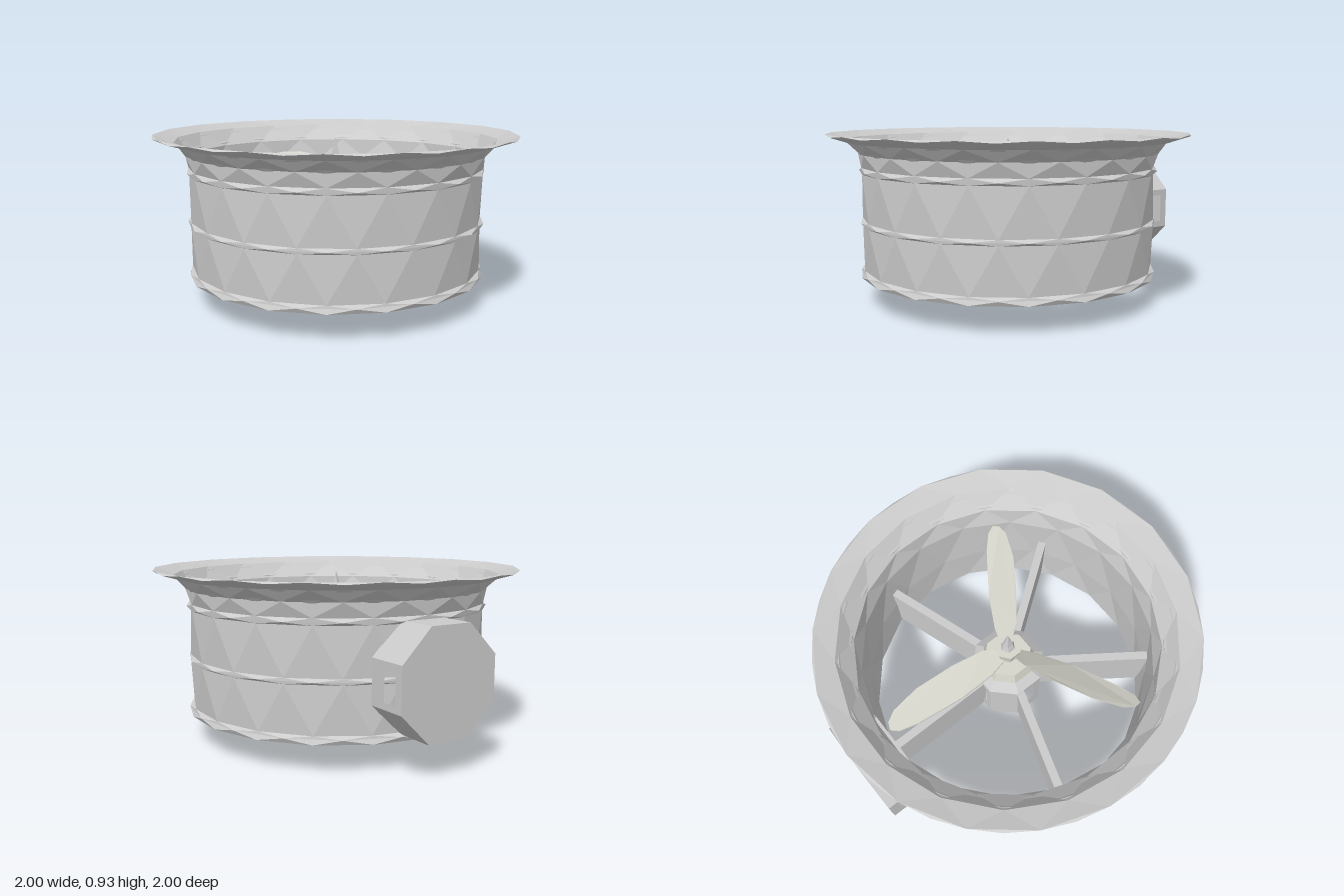
import * as THREE from 'three';

const grey = new THREE.MeshStandardMaterial({ color: 0xcccccc, flatShading: true, side: THREE.DoubleSide });
const pale = new THREE.MeshStandardMaterial({ color: 0xd6d6cc, flatShading: true, side: THREE.DoubleSide });

function part(name, geometry, material = grey) {
  const mesh = new THREE.Mesh(geometry, material);
  mesh.name = name;
  return mesh;
}

// Faceted drum at a given height
function drum(name, rTop, rBottom, y0, y1, sides, material, open = false) {
  const mesh = part(name, new THREE.CylinderGeometry(rTop, rBottom, y1 - y0, sides, 1, open, Math.PI / sides), material);
  mesh.position.y = (y0 + y1) / 2;
  return mesh;
}

// Ring of flat panels around y; every windowStep-th panel has a rectangular window
function panelBand(name, radius, height, sides, windowStep, [w, h, cy]) {
  const band = new THREE.Group();
  band.name = name;
  const half = radius * Math.sin(Math.PI / sides);
  for (let i = 0; i < sides; i++) {
    const shape = new THREE.Shape([[-half, -height / 2], [half, -height / 2], [half, height / 2], [-half, height / 2]]
      .map(p => new THREE.Vector2(...p)));
    if (i % windowStep === 0) {
      shape.holes.push(new THREE.Path([[-w, cy - h], [-w, cy + h], [w, cy + h], [w, cy - h]]
        .map(p => new THREE.Vector2(...p))));
    }
    const geometry = new THREE.ShapeGeometry(shape);
    geometry.translate(0, 0, radius * Math.cos(Math.PI / sides));
    geometry.rotateY(i * 2 * Math.PI / sides);
    band.add(part(name + 'Panel', geometry));
  }
  return band;
}

// Duct wall with flared mouth; each row is turned half a step to give triangular facets
function makeDuct() {
  const profile = [
    [0.785, 0.15], [0.825, 0.15], [0.825, 0.175], [0.81, 0.19], [0.812, 0.435], [0.826, 0.45], [0.812, 0.465],
    [0.812, 0.715], [0.826, 0.73], [0.815, 0.75], [0.83, 0.825], [0.885, 0.885], [1.0, 0.92], [1.0, 0.93],
    [0.89, 0.9], [0.81, 0.81], [0.79, 0.7], [0.788, 0.4], [0.785, 0.15],
  ].map(p => new THREE.Vector2(...p));
  const segments = 18, rows = profile.length;
  const geometry = new THREE.LatheGeometry(profile, segments);
  const pos = geometry.attributes.position;
  const v = new THREE.Vector3(), up = new THREE.Vector3(0, 1, 0);
  for (let i = 0; i < pos.count; i++) {
    v.fromBufferAttribute(pos, i).applyAxisAngle(up, (i % rows) * Math.PI / segments);
    pos.setXYZ(i, v.x, v.y, v.z);
  }
  return part('duct', geometry);
}

// Thin pitched blade: flat outline, lifted on its leading edge, more steeply at the root
function makeBladeGeometry() {
  const outline = [[0.04, 0.03], [0.12, 0.065], [0.3, 0.095], [0.52, 0.112], [0.68, 0.095], [0.74, 0.065],
    [0.755, 0.03], [0.72, 0.0], [0.62, -0.025], [0.35, -0.053], [0.15, -0.05], [0.04, -0.03]]
    .map(p => new THREE.Vector2(...p));
  const geometry = new THREE.ExtrudeGeometry(new THREE.Shape(outline), { depth: 0.012, bevelEnabled: false });
  geometry.rotateX(Math.PI / 2);
  const pos = geometry.attributes.position;
  for (let i = 0; i < pos.count; i++) {
    const pitch = 0.75 - 0.45 * pos.getX(i);
    pos.setY(i, pos.getY(i) + pos.getZ(i) * pitch);
  }
  return geometry;
}

export function createModel() {
  const model = new THREE.Group();
  model.name = 'ductedFan';
  model.add(makeDuct());

  // Five upright stator vanes from hub to wall
  for (let i = 0; i < 5; i++) {
    const geometry = new THREE.BoxGeometry(0.62, 0.35, 0.045);
    const pos = geometry.attributes.position;
    for (let k = 0; k < pos.count; k++) {
      // Lower edge is thinner
      if (pos.getY(k) < 0) pos.setZ(k, pos.getZ(k) * 0.5);
    }
    geometry.translate(0.485, 0.35, 0);
    geometry.rotateY(Math.PI + i * 2 * Math.PI / 5);
    model.add(part('statorVane', geometry));
  }

  // Hub: open-bottomed housing with windows, shoulder and motor
  const hub = new THREE.Group();
  hub.name = 'hub';
  const housing = panelBand('hubHousing', 0.205, 0.36, 8, 2, [0.04, 0.1, 0.03]);
  housing.position.y = 0.35;
  hub.add(housing);
  hub.add(drum('hubShoulder', 0.15, 0.205, 0.53, 0.57, 8, grey));
  hub.add(drum('motor', 0.13, 0.15, 0.57, 0.64, 8, pale));
  hub.add(drum('motorCore', 0.1, 0.1, 0.4, 0.55, 8, pale));
  hub.add(drum('driveShaft', 0.03, 0.03, 0.6, 0.7, 6, grey));
  model.add(hub);

  // Tapered flat stem hanging below the hub
  const stem = drum('stem', 0.09, 0.032, 0, 0.42, 4, pale);
  stem.scale.z = 0.5;
  model.add(stem);

  // Rotor: collar, pointed nut and three blades
  const rotor = new THREE.Group();
  rotor.name = 'rotor';
  rotor.add(drum('rotorCollar', 0.075, 0.06, 0.67, 0.76, 7, pale));
  rotor.add(drum('rotorNut', 0.03, 0.04, 0.76, 0.79, 6, grey));
  rotor.add(drum('rotorSpike', 0.003, 0.028, 0.79, 0.9, 5, grey));
  const bladeGeometry = makeBladeGeometry();
  for (let i = 0; i < 3; i++) {
    const blade = part('blade', bladeGeometry, pale);
    blade.position.y = 0.71;
    blade.rotation.y = Math.PI + i * 2 * Math.PI / 3;
    rotor.add(blade);
  }
  model.add(rotor);

  // Hollow octagonal pod on the right wall, windowed at front and back
  const pod = panelBand('sidePod', 0.298, 0.23, 8, 4, [0.08, 0.042, 0.025]);
  pod.add(drum('sidePodCap', 0.298, 0.298, 0.105, 0.115, 8, grey));
  pod.rotation.z = Math.PI / 2;
  pod.position.set(-0.885, 0.455, -0.015);
  model.add(pod);

  return model;
}
